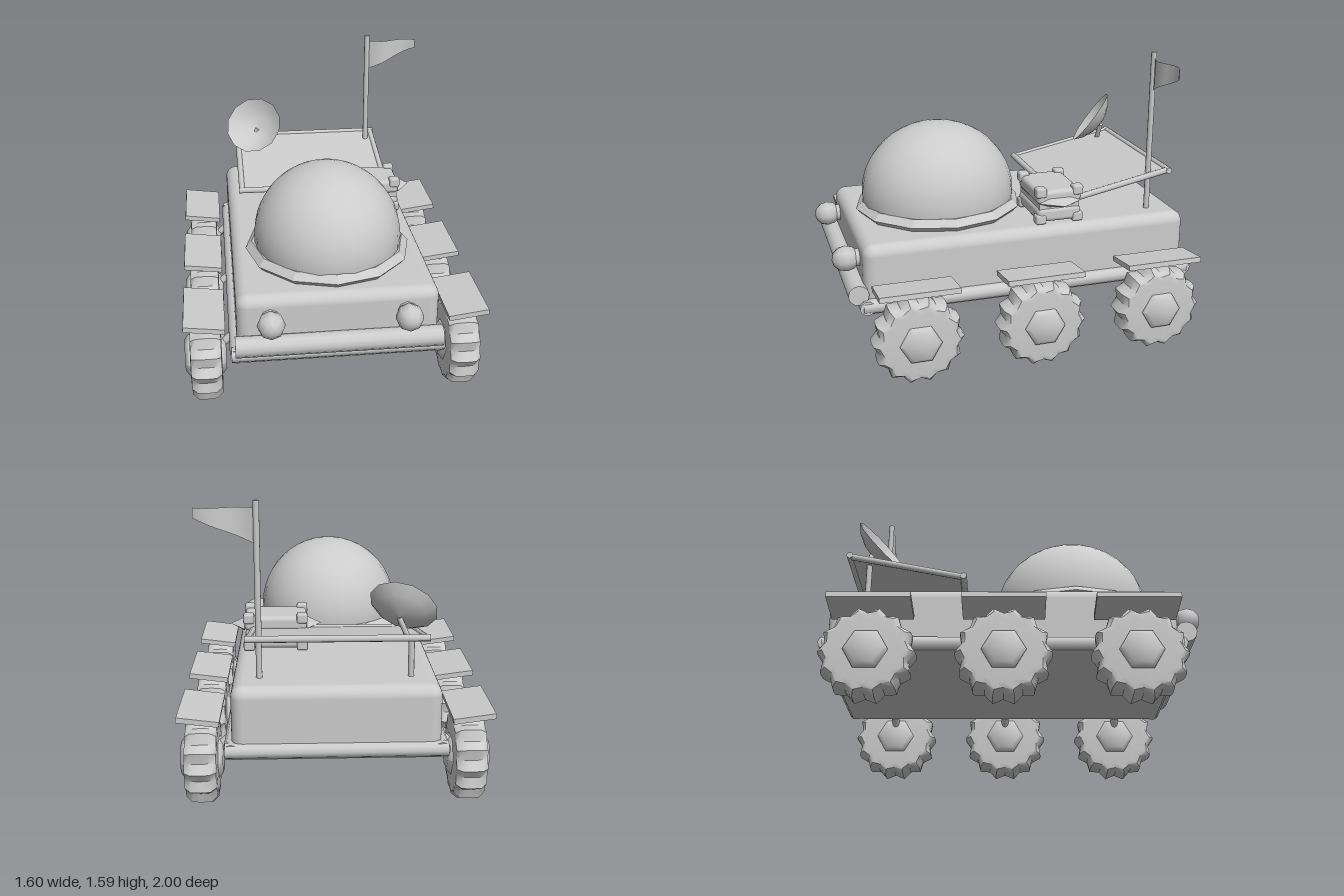
import * as THREE from 'three';
import { RoundedBoxGeometry } from 'three/addons/geometries/RoundedBoxGeometry.js';
import { toCreasedNormals } from 'three/addons/utils/BufferGeometryUtils.js';

const grey = new THREE.MeshStandardMaterial({ color: 0xcccccc });
const thin = new THREE.MeshStandardMaterial({ color: 0xcccccc, side: THREE.DoubleSide });
const facet = new THREE.MeshStandardMaterial({ color: 0xcccccc, flatShading: true });
const V = (x, y, z) => new THREE.Vector3(x, y, z);

function add(parent, name, geometry, pos = [0, 0, 0], material = grey) {
  const mesh = new THREE.Mesh(geometry, material);
  mesh.name = name;
  mesh.position.set(...pos);
  parent.add(mesh);
  return mesh;
}

// Straight round bar between two points
function bar(parent, name, a, b, r, sides = 10) {
  const dir = b.clone().sub(a);
  const mesh = add(parent, name, new THREE.CylinderGeometry(r, r, dir.length(), sides));
  mesh.position.copy(a).addScaledVector(dir, 0.5);
  mesh.quaternion.setFromUnitVectors(V(0, 1, 0), dir.normalize());
  return mesh;
}

// Tyre with rounded shoulders; every second crown vertex is raised into a lug
function tyreGeometry() {
  const profile = [[0, -0.083], [0.17, -0.083], [0.2, -0.08], [0.217, -0.05], [0.22, 0],
    [0.217, 0.05], [0.2, 0.08], [0.17, 0.083], [0, 0.083]].map(p => new THREE.Vector2(...p));
  const geo = new THREE.LatheGeometry(profile, 28);
  const p = geo.attributes.position;
  for (let i = 0; i < p.count; i++) {
    const column = Math.floor(i / profile.length);
    const r = Math.hypot(p.getX(i), p.getZ(i));
    if (r < 0.19) continue;
    const k = column % 2 ? 0.97 : r > 0.21 ? 1.1 : 1.05;
    p.setX(i, p.getX(i) * k);
    p.setZ(i, p.getZ(i) * k);
  }
  geo.rotateZ(-Math.PI / 2);
  return toCreasedNormals(geo, 0.75);
}

function wheelUnits(parent) {
  const tyre = tyreGeometry();
  const hub = toCreasedNormals(new THREE.LatheGeometry(
    [[0, -0.11], [0.085, -0.11], [0.11, -0.09], [0.11, 0.09], [0.085, 0.11], [0, 0.11]]
      .map(p => new THREE.Vector2(...p)), 6).rotateZ(-Math.PI / 2), 1.1);
  for (const s of [1, -1]) {
    for (const z of [0.62, -0.05, -0.72]) {
      const unit = new THREE.Group();
      unit.name = 'wheelUnit';
      parent.add(unit);
      add(unit, 'tyre', tyre, [s * 0.687, 0.25, z]);
      add(unit, 'hub', hub, [s * 0.69, 0.25, z]);
      bar(unit, 'suspensionArm', V(s * 0.5, 0.41, z), V(s * 0.64, 0.27, z), 0.022, 8);
      const fender = add(unit, 'fender', new THREE.BoxGeometry(0.215, 0.028, 0.42), [s * 0.69, 0.52, z]);
      fender.rotation.z = s * 0.13;
    }
  }
}

function cargoPack(parent) {
  const pack = new THREE.Group();
  pack.name = 'cargoPack';
  pack.position.set(0.31, 0.81, -0.23);
  parent.add(pack);
  for (const y of [-0.052, 0.047])
    add(pack, 'case', new RoundedBoxGeometry(0.34, 0.08, 0.25, 2, 0.025), [0, y, 0]);
  add(pack, 'caseCore', new THREE.BoxGeometry(0.32, 0.14, 0.23));
  // Pointed belt between the case halves
  for (const s of [1, -1]) {
    const tip = add(pack, 'beltPoint', new THREE.ConeGeometry(0.12, 0.08, 6), [s * 0.21, 0.02, 0], facet);
    tip.scale.x = 0.22;
    tip.rotation.z = -s * Math.PI / 2;
  }
  for (const x of [-0.145, 0.145])
    for (const z of [-0.105, 0.105])
      for (const y of [-0.075, 0.077])
        add(pack, 'cornerGuard', new RoundedBoxGeometry(0.06, 0.055, 0.06, 1, 0.012), [x, y, z]);
}

function solarPanel(parent) {
  const panel = new THREE.Group();
  panel.name = 'solarPanel';
  parent.add(panel);
  const at = (x, z) => V(x, 0.81 + (-0.27 - z) * 0.2, z);
  const [x0, x1, z0, z1] = [-0.44, 0.43, -0.27, -0.89];
  bar(panel, 'frontRail', at(x0 - 0.02, z0), at(x1 + 0.02, z0), 0.018, 8);
  bar(panel, 'backRail', at(x0 - 0.02, z1), at(x1 + 0.02, z1), 0.018, 8);
  for (const x of [x0, x1]) bar(panel, 'sideRail', at(x, z0), at(x, z1), 0.018, 8);
  const sheet = add(panel, 'panelSheet', new THREE.BoxGeometry(0.87, 0.012, 0.63));
  sheet.position.copy(at((x0 + x1) / 2, (z0 + z1) / 2));
  sheet.rotation.x = Math.atan(0.2);
  bar(panel, 'panelPost', V(-0.38, 0.69, -0.79), at(-0.38, -0.79), 0.016, 8);
}

function dish(parent) {
  const profile = [[0, 0], [0.07, 0.012], [0.13, 0.04], [0.178, 0.08]].map(p => new THREE.Vector2(...p));
  const normal = V(-0.34, 0.58, 0.74).normalize();
  const mesh = add(parent, 'dish', new THREE.LatheGeometry(profile, 12), [0, 0, 0], thin);
  mesh.quaternion.setFromUnitVectors(V(0, 1, 0), normal);
  mesh.position.set(-0.335, 1.045, -0.75).addScaledVector(normal, -0.06);
  bar(parent, 'dishStem', V(-0.36, 0.91, -0.79), mesh.position, 0.014, 8);
}

function flag(parent) {
  bar(parent, 'flagPole', V(0.385, 0.69, -0.79), V(0.385, 1.6, -0.79), 0.016);
  // Tapered pennant with a gentle wave
  const geo = new THREE.PlaneGeometry(0.29, 1, 8, 2);
  const p = geo.attributes.position;
  for (let i = 0; i < p.count; i++) {
    const t = p.getX(i) / 0.29 + 0.5;
    const low = 1.39 + 0.125 * t;
    p.setXYZ(i, 0.4 + 0.29 * t, low + (p.getY(i) + 0.5) * (1.565 - low),
      -0.79 + 0.02 * Math.sin(t * Math.PI * 2));
  }
  geo.computeVertexNormals();
  add(parent, 'flag', geo, [0, 0, 0], thin);
}

export function createModel() {
  const model = new THREE.Group();
  model.name = 'rover';

  // Hull and chassis rails
  add(model, 'body', new RoundedBoxGeometry(1.05, 0.36, 1.82, 4, 0.06), [0, 0.525, -0.055]);
  add(model, 'floorPlate', new THREE.BoxGeometry(1.08, 0.05, 1.84), [0, 0.365, -0.055]);
  for (const s of [1, -1])
    bar(model, 'sideRail', V(s * 0.525, 0.38, -0.98), V(s * 0.525, 0.38, 0.87), 0.04);
  bar(model, 'rearRail', V(-0.555, 0.38, -0.96), V(0.555, 0.38, -0.96), 0.04);
  bar(model, 'frontRail', V(-0.555, 0.38, 0.85), V(0.555, 0.38, 0.85), 0.04);
  bar(model, 'bumper', V(-0.535, 0.45, 0.89), V(0.535, 0.45, 0.89), 0.055, 12);

  // Headlamps
  for (const s of [1, -1]) {
    const lamp = add(model, 'headlamp', new THREE.SphereGeometry(0.073, 8, 6), [s * 0.352, 0.59, 0.925]);
    lamp.rotation.x = Math.PI / 2;
    bar(model, 'lampMount', V(s * 0.352, 0.59, 0.8), V(s * 0.352, 0.59, 0.92), 0.05, 8);
  }

  // Cabin dome on its faceted collar
  const dome = add(model, 'dome', new THREE.SphereGeometry(1, 28, 14, 0, Math.PI * 2, 0, 1.8), [0, 0.8, 0.335]);
  dome.scale.set(0.4, 0.4, 0.43);
  const collar = add(model, 'domeCollar', new THREE.TorusGeometry(0.4, 0.05, 5, 12), [0, 0.732, 0.335], facet);
  collar.rotation.x = Math.PI / 2;
  collar.scale.set(1, 1.045, 0.8);

  wheelUnits(model);
  cargoPack(model);
  solarPanel(model);
  dish(model);
  flag(model);
  return model;
}
